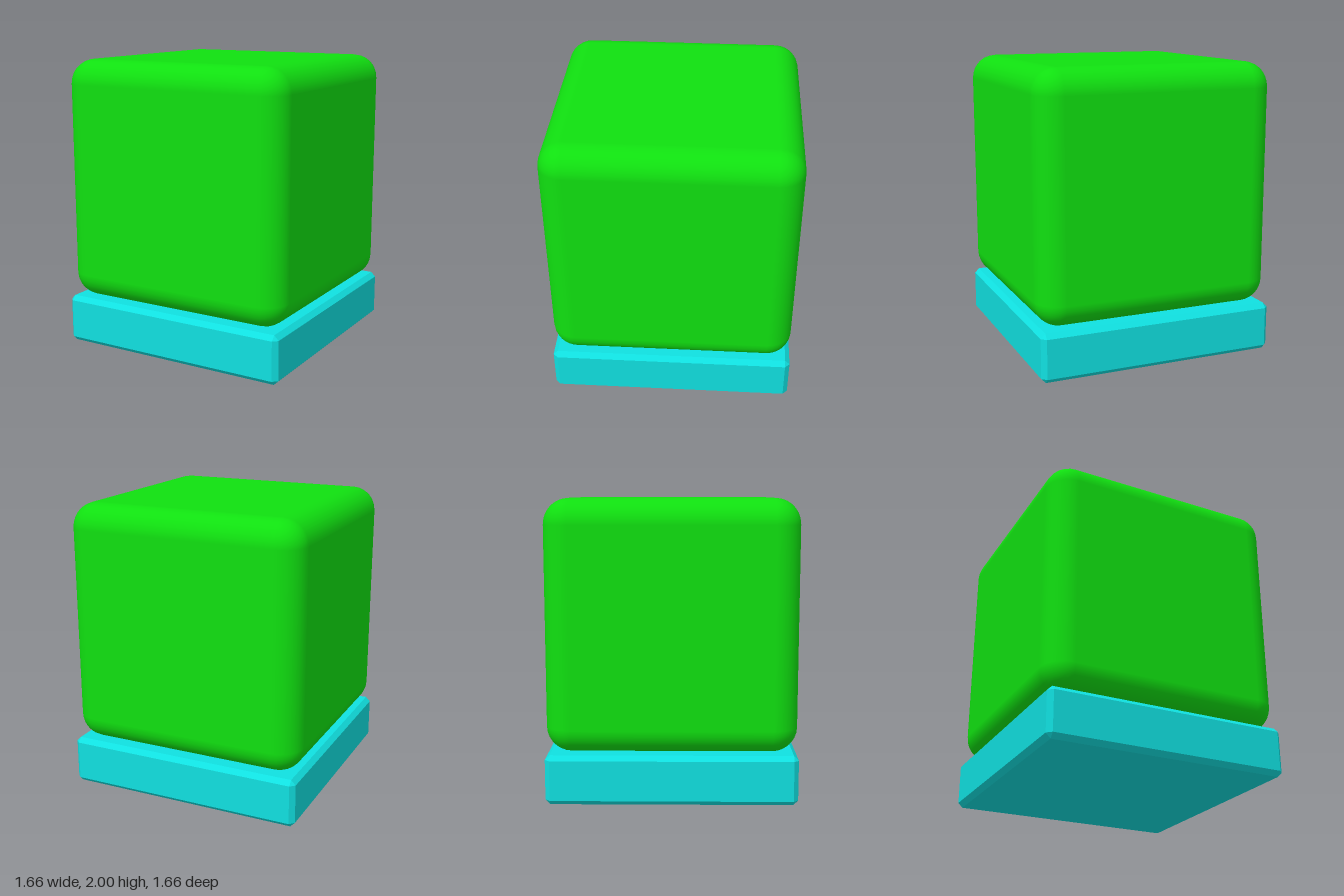
import * as THREE from 'three';
import { RoundedBoxGeometry } from 'three/addons/geometries/RoundedBoxGeometry.js';
import { ConvexGeometry } from 'three/addons/geometries/ConvexGeometry.js';

// Box with flat bevels along every edge and a small triangle at each corner
function chamferedBox(width, height, depth, bevel) {
  const half = [width / 2, height / 2, depth / 2];
  const points = [];
  for (const sx of [-1, 1]) for (const sy of [-1, 1]) for (const sz of [-1, 1]) {
    for (let axis = 0; axis < 3; axis++) {
      // Each corner gives one point on each of its three faces
      const [x, y, z] = half.map((h, i) => (i === axis ? h : h - bevel));
      points.push(new THREE.Vector3(sx * x, sy * y, sz * z));
    }
  }
  return new ConvexGeometry(points);
}

function addPart(group, name, geometry, color, y, flatShading = false) {
  const mesh = new THREE.Mesh(geometry, new THREE.MeshStandardMaterial({ color, flatShading }));
  mesh.name = name;
  mesh.position.y = y;
  group.add(mesh);
}

export function createModel() {
  const group = new THREE.Group();
  group.name = 'cubeOnBase';

  const size = 1.664, baseHeight = 0.333;

  // Bevelled slab
  addPart(group, 'base', chamferedBox(size, baseHeight, size, 0.032), 0x10e0e0, baseHeight / 2, true);

  // Soft rounded cube resting on the slab
  addPart(group, 'roundedCube', new RoundedBoxGeometry(size, 2 - baseHeight, size, 4, 0.17), 0x10e010, (2 + baseHeight) / 2);

  return group;
}
